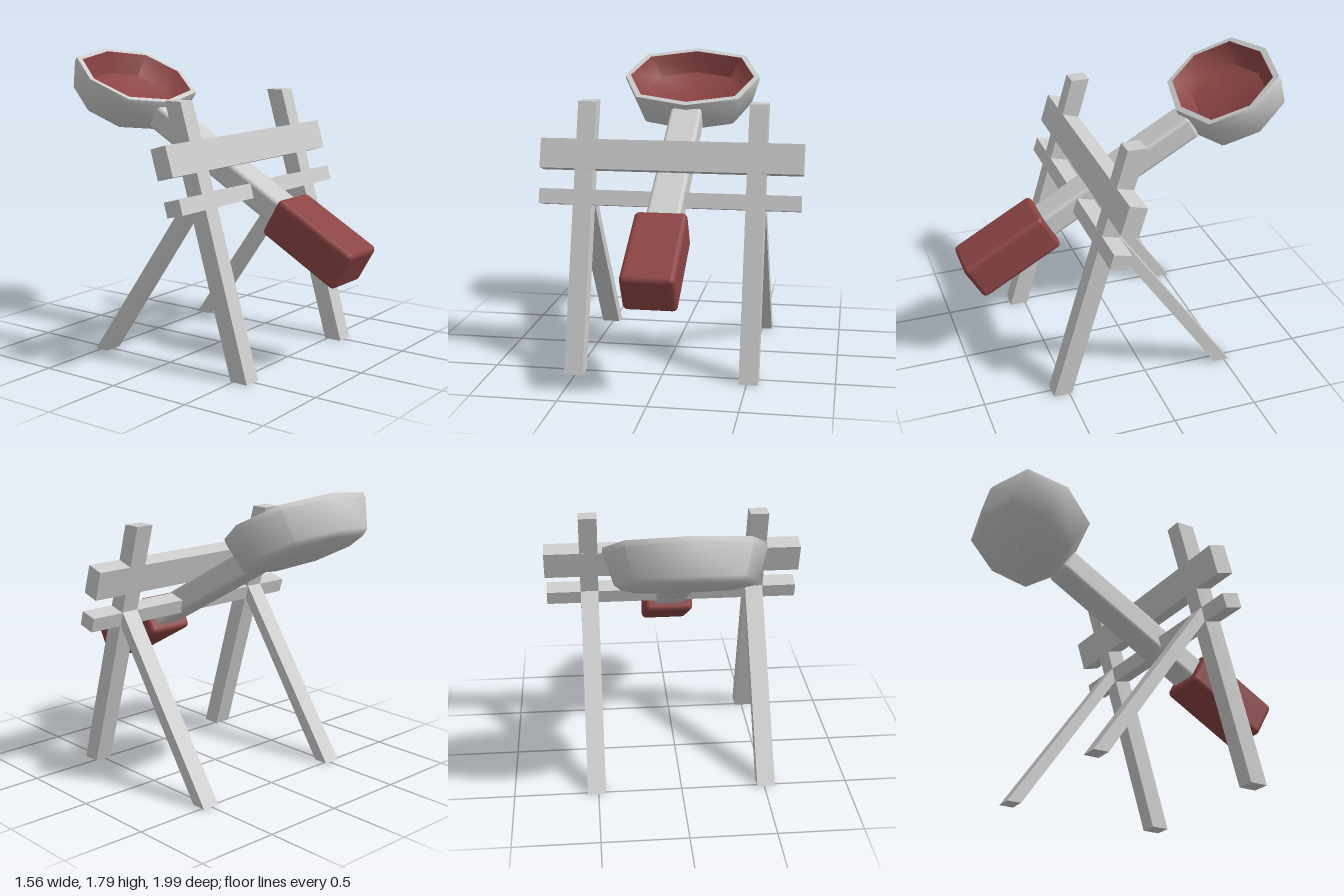
import * as THREE from 'three';
import { toCreasedNormals } from 'three/addons/utils/BufferGeometryUtils.js';
import { RoundedBoxGeometry } from 'three/addons/geometries/RoundedBoxGeometry.js';

const TILT = THREE.MathUtils.degToRad(29.5);

// Beam with a side profile of [z, y] corners, spanning x0..x1
function beam(name, profile, x0, x1, material) {
  const shape = new THREE.Shape(profile.map(([z, y]) => new THREE.Vector2(-z, y)));
  const geo = new THREE.ExtrudeGeometry(shape, { depth: x1 - x0, bevelEnabled: false });
  geo.rotateY(Math.PI / 2).translate(x0, 0, 0);
  const mesh = new THREE.Mesh(geo, material);
  mesh.name = name;
  return mesh;
}

// Eight-sided surface through rings of [x radius, z radius, y, z offset]
function octagonSurface(rings) {
  const pos = [];
  const point = ([rx, rz, y, dz], j) => {
    const a = (j * Math.PI) / 4;
    const k = j % 2 ? 1.06 : 1;
    return [rx * k * Math.cos(a), y, rz * k * Math.sin(a) + dz];
  };
  for (let i = 0; i < rings.length - 1; i++) {
    for (let j = 0; j < 8; j++) {
      const p = point(rings[i], j), q = point(rings[i], j + 1);
      const r = point(rings[i + 1], j), s = point(rings[i + 1], j + 1);
      pos.push(...p, ...q, ...r, ...q, ...s, ...r);
    }
  }
  const geo = new THREE.BufferGeometry();
  geo.setAttribute('position', new THREE.Float32BufferAttribute(pos, 3));
  return toCreasedNormals(geo, 0.95);
}

export function createModel() {
  const group = new THREE.Group();
  const grey = new THREE.MeshStandardMaterial({ color: 0xcccccc });
  const red = new THREE.MeshStandardMaterial({ color: 0x8c4444 });

  // Leaning posts and rear braces, mirrored
  const post = [[0.595, 0], [0.485, 0], [0.03, 1.545], [0.14, 1.545]];
  const brace = [[0.205, 0.93], [0.185, 1.018], [-0.525, 0.005], [-0.435, 0.005]];
  for (const [side, x] of [['left', 0.51], ['right', -0.51]]) {
    group.add(beam(side + 'Post', post, x - 0.055, x + 0.055, grey));
    group.add(beam(side + 'Brace', brace, x - 0.054, x + 0.054, grey));
  }

  // Crossbars, flush with the posts
  const upper = [[0.256, 1.16], [0.151, 1.13], [0.101, 1.3], [0.204, 1.33]];
  const lower = [[0.316, 0.957], [0.21, 0.93], [0.185, 1.015], [0.29, 1.042]];
  group.add(beam('upperCrossbar', upper, -0.78, 0.78, grey));
  group.add(beam('lowerCrossbar', lower, -0.773, 0.773, grey));

  // Parts that share the tilt of the throwing arm
  const tilted = (name, geo, material, y, z) => {
    const mesh = new THREE.Mesh(geo, material);
    mesh.name = name;
    mesh.position.set(0, y, z);
    mesh.rotation.x = TILT;
    group.add(mesh);
  };
  tilted('throwingArm', new RoundedBoxGeometry(0.2, 0.15, 1.09, 2, 0.025), grey, 1.122, 0.025);
  tilted('counterweight', new RoundedBoxGeometry(0.305, 0.245, 0.555, 2, 0.03), red, 0.737, 0.702);

  // Bowl: grey shell with rim, red lining
  const shell = octagonSurface([
    [0.405, 0.287, 0, 0], [0.44, 0.323, 0, 0], [0.44, 0.325, -0.03, 0],
    [0.385, 0.295, -0.2, 0.01], [0.35, 0.265, -0.228, 0.01], [0.001, 0.001, -0.23, 0.01],
  ]);
  const lining = octagonSurface([
    [0.001, 0.001, -0.13, 0], [0.31, 0.215, -0.12, 0], [0.405, 0.287, 0, 0],
  ]);
  tilted('bowlShell', shell, grey, 1.63, -0.647);
  tilted('bowlLining', lining, red, 1.63, -0.647);

  return group;
}
